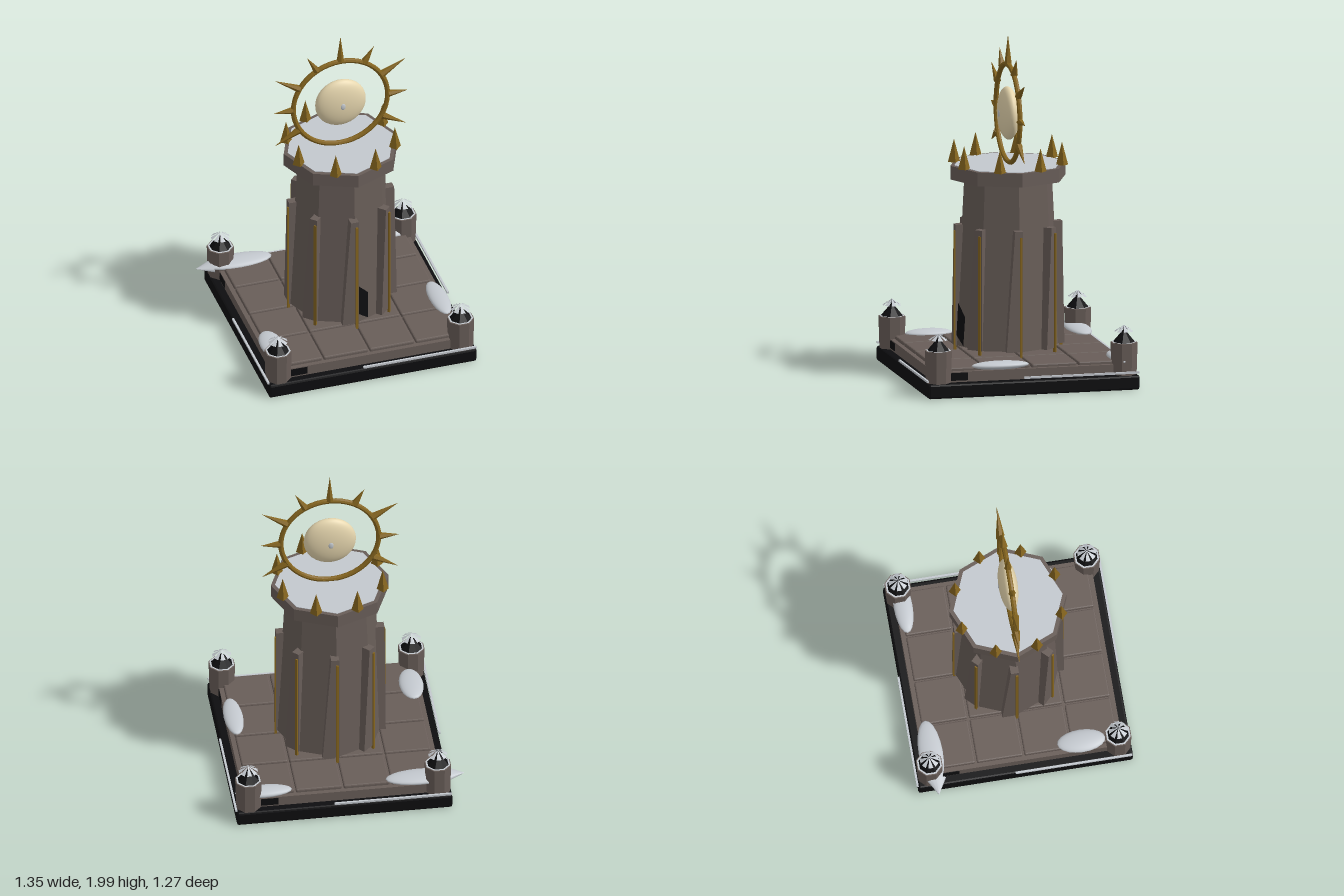
import * as THREE from 'three';
import { RoundedBoxGeometry } from 'three/addons/geometries/RoundedBoxGeometry.js';

const material = (name, color, extra = {}) => {
  const m = new THREE.MeshStandardMaterial({ color, ...extra });
  m.name = name;
  return m;
};

export function createModel() {
  const stone = material('stone', 0x685d58, { flatShading: true });
  const black = material('blackStone', 0x0d0d0f, { flatShading: true });
  const gold = material('agedGold', 0x85651f, { flatShading: true });
  const cream = material('creamDisc', 0xe6d6ae);
  const snow = material('snow', 0xc3c8ce, { side: THREE.DoubleSide });

  const root = new THREE.Group();
  root.name = 'sunShrine';
  const shrine = new THREE.Group();
  shrine.name = 'shrine';
  shrine.position.x = 0.04;
  root.add(shrine);

  const add = (name, geometry, mat, x = 0, y = 0, z = 0, parent = shrine) => {
    const mesh = new THREE.Mesh(geometry, mat);
    mesh.name = name;
    mesh.position.set(x, y, z);
    parent.add(mesh);
    return mesh;
  };
  // Group turned about the vertical axis, with its +z pointing outward
  const turned = (name, angle) => {
    const g = new THREE.Group();
    g.name = name;
    g.rotation.y = angle;
    shrine.add(g);
    return g;
  };

  // Plinth and paving
  add('plinth', new RoundedBoxGeometry(1.25, 0.085, 1.25, 1, 0.012), black, 0, 0.0425, 0);
  add('pavingSlab', new THREE.BoxGeometry(1.15, 0.06, 1.15), stone, 0, 0.115, 0);
  const tile = new RoundedBoxGeometry(0.266, 0.04, 0.266, 1, 0.008);
  for (let i = 0; i < 4; i++) {
    for (let j = 0; j < 4; j++) {
      add('pavingTile', tile, stone, (i - 1.5) * 0.277, 0.145, (j - 1.5) * 0.277);
    }
  }

  // Frost strip and chipped edge along each side
  for (let k = 0; k < 4; k++) {
    const side = turned('plinthSide', k * Math.PI / 2);
    add('frostStrip', new THREE.BoxGeometry(0.68, 0.012, 0.012), snow, 0.28, 0.103, 0.629, side);
    add('edgeChip', new THREE.BoxGeometry(0.1, 0.045, 0.006), black, -0.43, 0.117, 0.575, side);
  }

  // Corner posts with black roofs and snowy crowns
  for (const sx of [-1, 1]) {
    for (const sz of [-1, 1]) {
      const post = new THREE.Group();
      post.name = 'cornerPost';
      post.position.set(sx * 0.55, 0, sz * 0.55);
      post.rotation.y = Math.PI / 8;
      shrine.add(post);
      add('postShaft', new THREE.CylinderGeometry(0.079, 0.073, 0.19, 8), stone, 0, 0.175, 0, post);
      add('postRoof', new THREE.ConeGeometry(0.066, 0.078, 8), black, 0, 0.309, 0, post);
      const rim = new THREE.RingGeometry(0.058, 0.074, 8).rotateX(-Math.PI / 2).rotateY(Math.PI / 8 * 2);
      add('postSnowRim', rim, snow, 0, 0.273, 0, post);
      for (let k = 0; k < 8; k++) {
        const wedge = new THREE.ConeGeometry(0.056, 0.036, 1, 1, true, k * Math.PI / 4 + 0.13, Math.PI / 4 - 0.26);
        add('snowCrownWedge', wedge, snow, 0, 0.352, 0, post);
      }
    }
  }

  // Tapered octagonal tower and its cap
  add('towerShaft', new THREE.CylinderGeometry(0.26, 0.31, 0.97, 8), stone, 0, 0.675, 0);
  add('towerCap', new THREE.CylinderGeometry(0.342, 0.342, 0.08, 8), stone, 0, 1.2, 0);
  add('capSnow', new THREE.CylinderGeometry(0.318, 0.318, 0.004, 8), snow, 0, 1.241, 0);

  // Buttresses: upright on one edge and slanting on the other, each with a gold strip
  const buttress = new THREE.BoxGeometry(1, 0.705, 0.1);
  const p = buttress.attributes.position;
  for (let i = 0; i < p.count; i++) {
    const right = p.getX(i) > 0;
    const top = p.getY(i) > 0;
    p.setX(i, right ? 0.012 : top ? -0.035 : -0.085);
  }
  buttress.computeVertexNormals();
  for (let k = 0; k < 8; k++) {
    const rib = turned('towerRib', k * Math.PI / 4);
    add('buttress', buttress, stone, 0, 0.5425, 0.263, rib);
    add('goldStrip', new THREE.BoxGeometry(0.014, 0.705, 0.014), gold, 0, 0.5075, 0.314, rib);
  }

  // Narrow dark doorway lying on the tower face
  const outline = [[0.01, 0.25], [0.077, 0.195], [0.08, 0.365], [0.01, 0.44]];
  const doorPoints = outline.flatMap(([x, y]) => {
    const radius = 0.31 - (y - 0.19) * 0.0515;
    return [x, y, radius - x * Math.tan(Math.PI / 8) + 0.006];
  });
  const door = new THREE.BufferGeometry();
  door.setAttribute('position', new THREE.Float32BufferAttribute(doorPoints, 3));
  door.setIndex([0, 1, 2, 0, 2, 3]);
  door.computeVertexNormals();
  add('doorway', door, black);

  // Crown of spikes on the cap
  for (let k = 0; k < 8; k++) {
    const a = (k + 0.5) * Math.PI / 4;
    add('capSpike', new THREE.ConeGeometry(0.036, 0.135, 4), gold, 0.314 * Math.sin(a), 1.307, 0.314 * Math.cos(a));
  }

  // Sun ring with alternating long and short rays
  const sun = new THREE.Group();
  sun.name = 'sun';
  sun.position.y = 1.533;
  shrine.add(sun);
  add('sunRing', new THREE.TorusGeometry(0.284, 0.015, 8, 48), gold, 0, 0, 0, sun);
  for (let k = -4; k <= 4; k++) {
    const a = k * Math.PI / 6;
    const length = k % 2 === 0 ? 0.17 : 0.115;
    const r = 0.288 + length / 2;
    const ray = add('sunRay', new THREE.ConeGeometry(0.022, length, 6), gold, r * Math.sin(a), r * Math.cos(a), 0, sun);
    ray.rotation.z = -a;
  }

  // Lens-shaped disc with a pale bead on each face
  const disc = add('sunDisc', new THREE.SphereGeometry(1, 32, 20), cream, 0, 0, 0, sun);
  disc.scale.set(0.152, 0.154, 0.055);
  for (const s of [-1, 1]) {
    const bead = add('discBead', new THREE.SphereGeometry(1, 12, 8), snow, 0, 0, s * 0.052, sun);
    bead.scale.set(0.016, 0.023, 0.007);
  }

  // Low snow drifts: x, z, half width, half depth
  const drifts = [
    [-0.52, 0.34, 0.07, 0.14],
    [0.535, 0.18, 0.056, 0.17],
    [-0.45, -0.525, 0.2, 0.07],
    [0.46, -0.535, 0.165, 0.055],
  ];
  for (const [x, z, rx, rz] of drifts) {
    const drift = add('snowDrift', new THREE.SphereGeometry(1, 20, 12), snow, x, 0.166, z);
    drift.scale.set(rx, 0.025, rz);
  }
  // Pointed end of the drift hanging over the edge
  const tip = add('driftTip', new THREE.ConeGeometry(1, 1, 12), snow, -0.66, 0.164, -0.52);
  tip.rotation.z = Math.PI / 2;
  tip.scale.set(0.022, 0.1, 0.058);

  return root;
}
